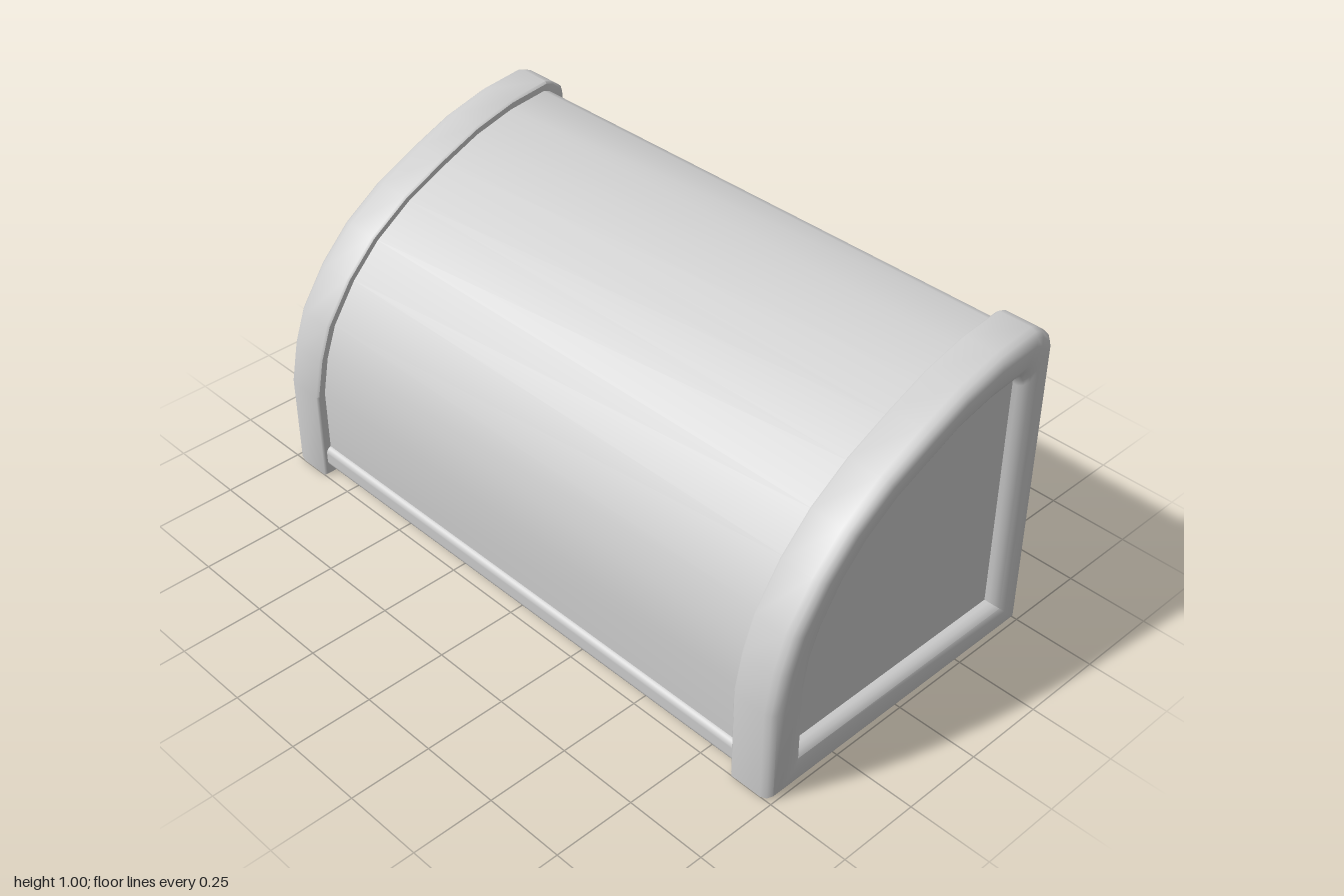
import * as THREE from 'three';
import { toCreasedNormals } from 'three/addons/utils/BufferGeometryUtils.js';
import { RoundedBoxGeometry } from 'three/addons/geometries/RoundedBoxGeometry.js';

// Side outlines as [z, y]: front foot, up the curve, over the top, down the back
const OUTER = [[0.5, 0], [0.5, 0.29], [0.475, 0.41], [0.437, 0.515], [0.35, 0.64], [0.25, 0.74], [0.12, 0.827],
  [-0.03, 0.897], [-0.16, 0.95], [-0.3, 0.986], [-0.435, 1], [-0.462, 0.99], [-0.495, 0.963], [-0.5, 0.945], [-0.5, 0.005]];
const INNER = [[0.375, 0.1], [0.375, 0.325], [0.36, 0.42], [0.325, 0.502], [0.26, 0.6], [0.18, 0.68], [0.08, 0.747],
  [-0.03, 0.795], [-0.137, 0.842], [-0.25, 0.868], [-0.373, 0.88], [-0.387, 0.873], [-0.4, 0.853], [-0.405, 0.835], [-0.405, 0.1]];

const material = new THREE.MeshStandardMaterial({ color: 0xcccccc });

// Outline at plane x, blended from the inner (t = 0) to the outer (t = 1) one
function ring(x, t, minY = 0) {
  return OUTER.map(([z, y], i) => [
    x,
    Math.max(minY, THREE.MathUtils.lerp(INNER[i][1], y, t)),
    THREE.MathUtils.lerp(INNER[i][0], z, t),
  ]);
}

// Skin a list of closed rings
function loft(name, rings) {
  const n = rings[0].length;
  const index = [];
  for (let k = 0; k < rings.length - 1; k++) {
    for (let i = 0; i < n; i++) {
      const j = (i + 1) % n;
      const a = k * n + i, b = k * n + j, c = a + n, d = b + n;
      index.push(a, b, c, b, d, c);
    }
  }
  const geometry = new THREE.BufferGeometry();
  geometry.setAttribute('position', new THREE.Float32BufferAttribute(rings.flat(2), 3));
  geometry.setIndex(index);
  const mesh = new THREE.Mesh(toCreasedNormals(geometry, 0.85), material);
  mesh.name = name;
  return mesh;
}

function createEnd(side) {
  const group = new THREE.Group();
  group.name = side > 0 ? 'leftEnd' : 'rightEnd';
  const orient = (rings) => (side > 0 ? rings : rings.reverse());

  // Rounded frame: [blend, x] from the recess, over the face, to the inner side
  const profile = [[0, 0.945], [0, 0.965], [0.05, 0.98], [0.16, 0.992], [0.32, 1], [0.72, 1],
    [0.87, 0.993], [0.96, 0.981], [1, 0.962], [1, 0.862], [0.95, 0.855], [0.6, 0.855]];
  group.add(loft('endFrame', orient(profile.map(([t, x]) => ring(side * x, t)))));

  // Recessed flat panel, fanned from its middle
  const middle = OUTER.map(() => [side * 0.95, 0.42, -0.05]);
  group.add(loft('endPanel', orient([middle, ring(side * 0.95, 0)])));
  return group;
}

export function createModel() {
  const model = new THREE.Group();
  model.name = 'breadBox';

  // Curved lid and back wall between the two ends
  model.add(loft('curvedBody', [ring(0.87, 0.78, 0.08), ring(-0.87, 0.78, 0.08)]));

  // Base tray with rounded rails at front and back
  const base = new THREE.Mesh(new RoundedBoxGeometry(1.76, 0.07, 0.976, 4, 0.02), material);
  base.name = 'baseTray';
  base.position.y = 0.065;
  model.add(base);

  model.add(createEnd(1), createEnd(-1));
  return model;
}
